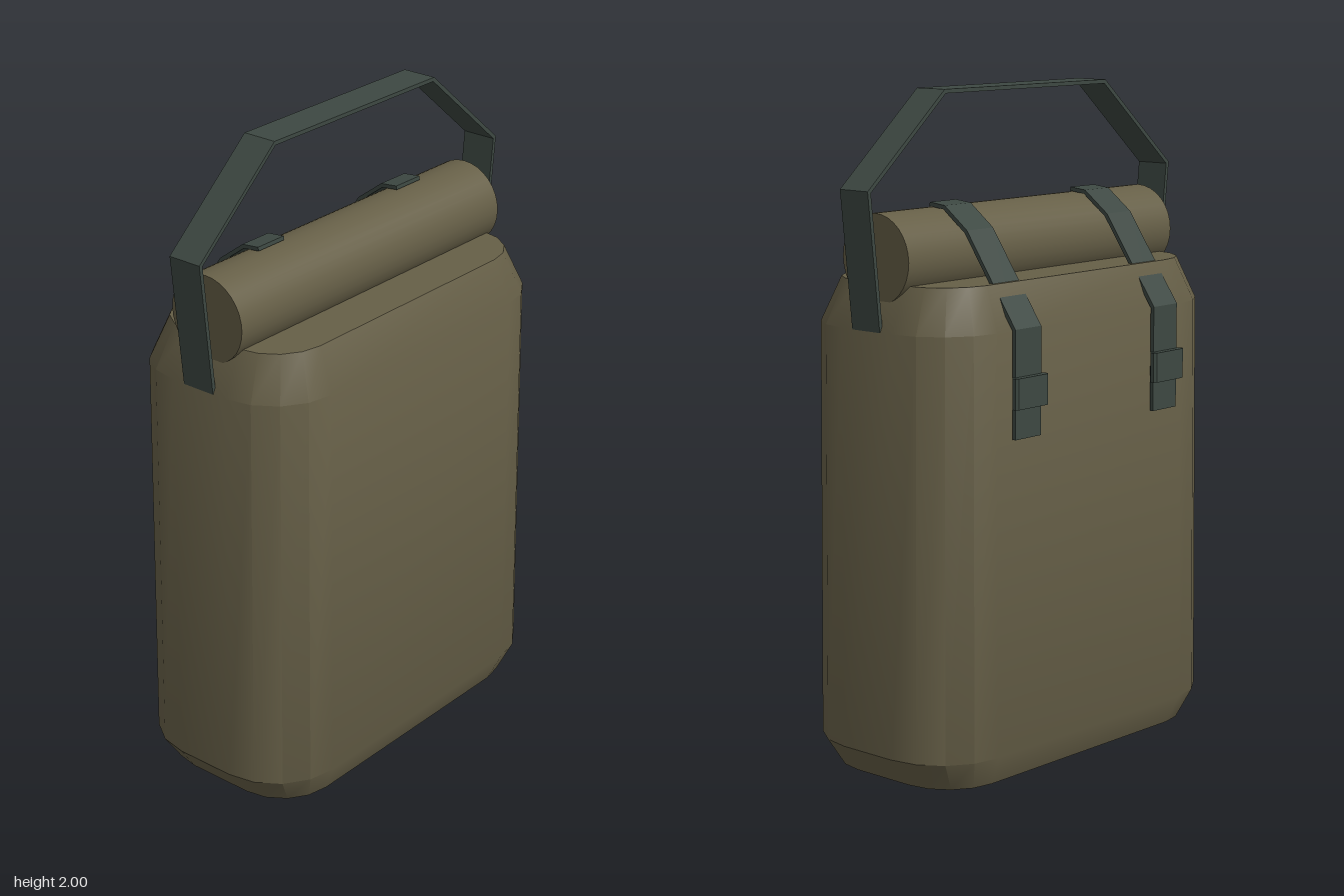
import * as THREE from 'three';
import { toCreasedNormals } from 'three/addons/utils/BufferGeometryUtils.js';

const CENTER_Z = 0.017;

// Rounded-rectangle outline at height y, corners of four segments
function outline({ y, hx, hz, r }) {
  const points = [];
  [[1, 1], [-1, 1], [-1, -1], [1, -1]].forEach(([sx, sz], corner) => {
    for (let i = 0; i <= 4; i++) {
      const a = (corner + i / 4) * Math.PI / 2;
      points.push([sx * (hx - r) + r * Math.cos(a), y, CENTER_Z + sz * (hz - r) + r * Math.sin(a)]);
    }
  });
  return points;
}

// Closed skin through a stack of outlines
function loft(sections) {
  const rings = sections.map(outline);
  const n = rings[0].length;
  const last = (rings.length - 1) * n;
  const index = [];
  for (let i = 0; i < rings.length - 1; i++) {
    for (let j = 0; j < n; j++) {
      const a = i * n + j, b = i * n + (j + 1) % n;
      index.push(a, a + n, b, b, a + n, b + n);
    }
  }
  for (let j = 1; j < n - 1; j++) {
    index.push(0, j, j + 1, last, last + j + 1, last + j);
  }
  const geometry = new THREE.BufferGeometry();
  geometry.setAttribute('position', new THREE.Float32BufferAttribute(rings.flat(2), 3));
  geometry.setIndex(index);
  return toCreasedNormals(geometry, THREE.MathUtils.degToRad(30));
}

// Flat band following a 2D path, mitred at the bends, centred on its width
function band(path, thickness, width) {
  const pts = path.map(([x, y]) => new THREE.Vector2(x, y));
  const side = (sign) => pts.map((p, i) => {
    const d1 = p.clone().sub(pts[Math.max(i - 1, 0)]).normalize();
    const d2 = pts[Math.min(i + 1, pts.length - 1)].clone().sub(p).normalize();
    const dir = d1.clone().add(d2).normalize();
    const ref = i === 0 ? d2 : d1;
    const offset = sign * thickness / 2 / dir.dot(ref);
    return new THREE.Vector2(p.x - dir.y * offset, p.y + dir.x * offset);
  });
  const shape = new THREE.Shape([...side(1), ...side(-1).reverse()]);
  return new THREE.ExtrudeGeometry(shape, { depth: width, bevelEnabled: false }).translate(0, 0, -width / 2);
}

export function createModel() {
  const model = new THREE.Group();
  model.name = 'rollTopBag';
  const canvas = new THREE.MeshStandardMaterial({ color: 0x665f47 });
  canvas.name = 'olive canvas';
  const webbing = new THREE.MeshStandardMaterial({ color: 0x3d4842 });
  webbing.name = 'dark green webbing';

  const add = (name, geometry, material, x = 0, y = 0, z = 0) => {
    const mesh = new THREE.Mesh(geometry, material);
    mesh.name = name;
    mesh.position.set(x, y, z);
    model.add(mesh);
    return mesh;
  };

  // Bag body with chamfered base and shoulders
  add('body', loft([
    { y: 0, hx: 0.575, hz: 0.277, r: 0.17 },
    { y: 0.09, hx: 0.64, hz: 0.317, r: 0.22 },
    { y: 1.33, hx: 0.625, hz: 0.31, r: 0.21 },
    { y: 1.46, hx: 0.562, hz: 0.257, r: 0.16 },
  ]), canvas);

  // Rolled closure
  add('roll', new THREE.CylinderGeometry(0.131, 0.131, 1.17, 32).rotateZ(Math.PI / 2), canvas, 0, 1.53, CENTER_Z);

  // Carrying handle
  add('handle', band([
    [0.62, 1.33], [0.662, 1.728], [0.353, 1.994], [-0.353, 1.994], [-0.662, 1.728], [-0.62, 1.33],
  ], 0.012, 0.11), webbing, 0, 0, CENTER_Z);

  // Closing straps with buckles on the back
  const strapPath = [[0.017, 1.67], [-0.04, 1.664], [-0.125, 1.6], [-0.309, 1.335], [-0.309, 1.02]];
  const strap = band(strapPath, 0.012, 0.11).rotateY(-Math.PI / 2);
  const buckleShape = new THREE.Shape([
    [-0.07, -0.006], [-0.062, -0.013], [0.062, -0.013], [0.07, -0.006],
    [0.07, 0.006], [0.062, 0.013], [-0.062, 0.013], [-0.07, 0.006],
  ].map(([x, y]) => new THREE.Vector2(x, y)));
  const buckle = new THREE.ExtrudeGeometry(buckleShape, { depth: 0.09, bevelEnabled: false })
    .translate(0, 0, -0.045).rotateX(Math.PI / 2);
  for (const [label, x] of [['left', 0.308], ['right', -0.312]]) {
    add(label + 'Strap', strap, webbing, x);
    add(label + 'Buckle', buckle, webbing, x, 1.155, -0.322);
  }
  return model;
}
